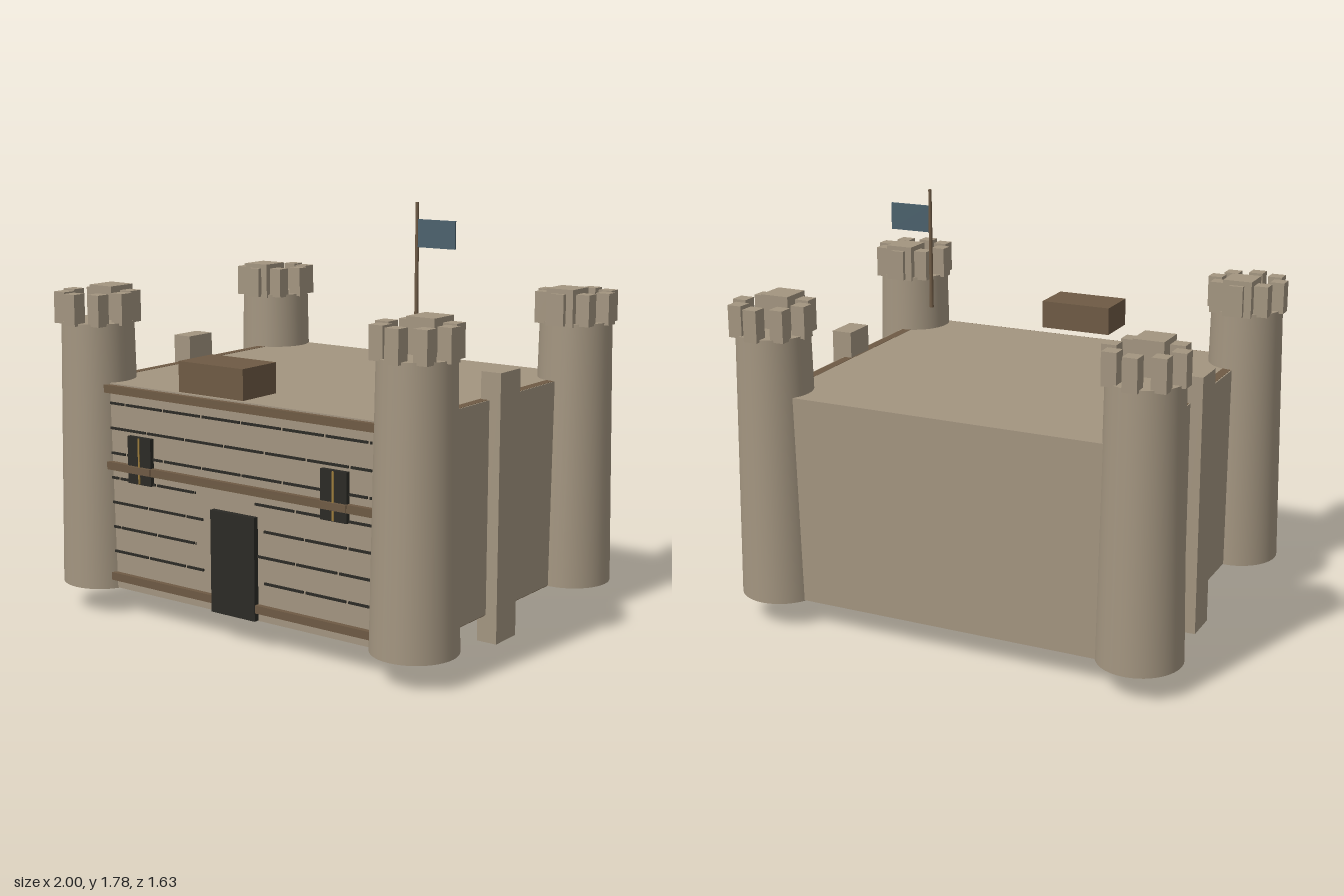
import * as THREE from 'three';

const mat = (color) => new THREE.MeshStandardMaterial({ color });

export function createModel() {
  const root = new THREE.Group();
  const stone = mat(0xa39580), wood = mat(0x6e5a44), dark = mat(0x2b2a25);
  const gold = mat(0x9a7b3c), cloth = mat(0x4a606c);

  // Box given by its minimum and maximum on each axis
  function block(name, material, x0, x1, y0, y1, z0, z1, parent = root) {
    const mesh = new THREE.Mesh(new THREE.BoxGeometry(x1 - x0, y1 - y0, z1 - z0), material);
    mesh.position.set((x0 + x1) / 2, (y0 + y1) / 2, (z0 + z1) / 2);
    mesh.name = name;
    parent.add(mesh);
    return mesh;
  }

  // Main keep
  block('keep', stone, -0.775, 0.775, 0.118, 1.015, -0.723, 0.67);

  // Side walls: wooden core with a stone facing, and a tall buttress
  for (const s of [-1, 1]) {
    const side = new THREE.Group();
    side.name = s > 0 ? 'leftSide' : 'rightSide';
    const span = (a, b) => (s > 0 ? [a, b] : [-b, -a]);
    block('wallCore', wood, ...span(0.77, 0.81), 0.113, 1.016, -0.72, 0.68, side);
    block('wallFacing', stone, ...span(0.81, 0.815), 0.118, 1.015, -0.72, 0.67, side);
    block('buttress', stone, ...span(0.775, 0.867), 0, 1.13, -0.1, 0.053, side);
    root.add(side);
  }

  // Corner towers with battlements
  const shaft = new THREE.CylinderGeometry(0.155, 0.177, 1.15, 40);
  function tower(name, x, z, inward) {
    const group = new THREE.Group();
    group.name = name;
    group.position.set(x, 0, z);
    const body = new THREE.Mesh(shaft, stone);
    body.name = 'towerShaft';
    body.position.y = 0.69;
    group.add(body);
    for (let i = 0; i < 8; i++) {
      const a = (i * Math.PI) / 4, cx = 0.14 * Math.cos(a), cz = 0.14 * Math.sin(a);
      block('merlon', stone, cx - 0.031, cx + 0.031, 1.255, 1.39, cz - 0.031, cz + 0.031, group);
    }
    block('lookout', stone, -0.064, 0.064, 1.25, 1.41, inward - 0.067, inward + 0.067, group);
    root.add(group);
  }
  for (const s of [-1, 1]) {
    const side = s > 0 ? 'Left' : 'Right';
    tower('front' + side + 'Tower', s * 0.823, 0.59, -0.085);
    tower('back' + side + 'Tower', s * 0.823, -0.638, 0.083);
  }

  // Wooden bands across the front
  for (const y of [0.172, 0.66, 0.992]) {
    block('frontBand', wood, -0.77, 0.77, y - 0.017, y + 0.017, 0.66, 0.692);
  }

  // Broken mortar lines, interrupted around the door in the lower courses
  const joints = new THREE.Group();
  joints.name = 'mortarLines';
  root.add(joints);
  function course(y, from, to, shift) {
    let x = from;
    let end = from + shift;
    while (x < to) {
      block('mortarLine', dark, x, Math.min(end, to) - 0.012, y - 0.005, y + 0.005, 0.665, 0.677, joints);
      x = Math.min(end, to);
      end = x + 0.21;
    }
  }
  for (let i = 0; i < 7; i++) {
    const y = 0.93 - i * 0.108, odd = i % 2 === 1;
    if (i < 3) {
      course(y, -0.68, 0.69, odd ? 0.21 : 0.09);
    } else {
      course(y, -0.68, odd ? -0.2 : -0.16, odd ? 0.05 : 0.21);
      course(y, odd ? 0.105 : 0.15, 0.69, 0.21);
    }
  }

  // Door and barred windows
  block('door', dark, -0.115, 0.115, 0.12, 0.553, 0.66, 0.694);
  for (const s of [-1, 1]) {
    const x = s * 0.507;
    block('window', dark, x - 0.064, x + 0.064, 0.6, 0.803, 0.66, 0.69);
    block('windowBar', gold, x - 0.004, x + 0.004, 0.603, 0.8, 0.68, 0.694);
    block('windowCrossbar', wood, x - 0.064, x + 0.064, 0.645, 0.675, 0.68, 0.698);
  }

  // Floating wooden box above the gate
  block('gateBox', wood, -0.165, 0.165, 1.055, 1.18, 0.608, 0.815);

  // Flag on its pole
  const pole = new THREE.Mesh(new THREE.CylinderGeometry(0.007, 0.009, 0.515, 12), wood);
  pole.name = 'flagPole';
  pole.position.set(0.408, 1.5275, -0.024);
  root.add(pole);
  block('flag', cloth, 0.412, 0.595, 1.6, 1.715, -0.028, -0.02);

  return root;
}
